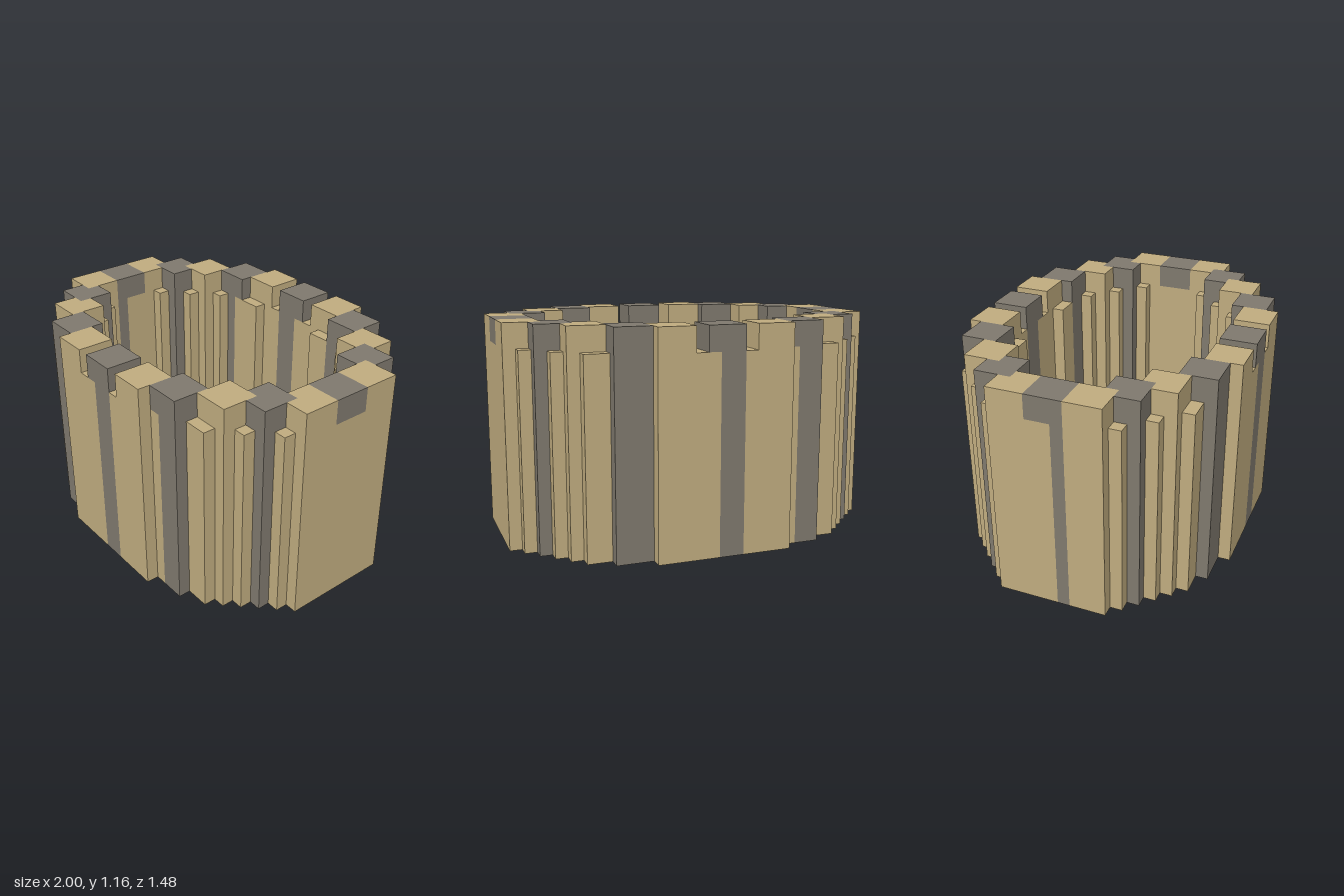
import * as THREE from 'three';

const U = 2 / 31;          // one block
const LOW = 16, TOP = 18;  // heights in blocks

export function createModel() {
  const model = new THREE.Group();
  model.name = 'blockTower';
  const sand = new THREE.MeshStandardMaterial({ color: 0xbfab7e });
  sand.name = 'sandstone';
  const gray = new THREE.MeshStandardMaterial({ color: 0x7e786d });
  gray.name = 'gray stone';

  // Box from block limits, mirrored by the signs sx and sz
  function block(name, mat, [x0, x1, z0, z1], y0, y1, sx = 1, sz = 1) {
    const geo = new THREE.BoxGeometry((x1 - x0) * U, (y1 - y0) * U, (z1 - z0) * U);
    const mesh = new THREE.Mesh(geo, mat);
    mesh.position.set(sx * (x0 + x1) / 2 * U, (y0 + y1) / 2 * U, sz * (z0 + z1) / 2 * U);
    mesh.name = name;
    model.add(mesh);
  }

  // Four quarters of the oval wall; diagonal quarters share their corner overlaps
  for (const sx of [1, -1]) for (const sz of [1, -1]) {
    const same = sx === sz;
    const add = (name, mat, list, y0, y1) =>
      list.forEach((r) => block(name, mat, r, y0, y1, sx, sz));

    add('mainWall', sand, [[2.5, 5.5, 8.5, 11.5]], 0, TOP);

    // Gray pillar beside the main wall
    if (same) {
      add('pillarTop', gray, [[5.5, 8.5, 7.5, 10.5]], LOW, TOP);
      add('pillar', gray, [[6.5, 8.5, 7.5, 10.5]], 0, LOW);
      add('pillarEdge', sand, [[5.5, 6.5, 7.5, 10.5]], 0, LOW);
    } else {
      add('pillar', gray, [[5.5, 8.5, 7.5, 10.5]], 0, TOP);
    }

    // Corner posts, each notched where its neighbour overlaps it
    add('cornerPost', sand, same
      ? [[8.5, 11.5, 5.5, 8.5]]
      : [[8.5, 10.5, 5.5, 8.5], [10.5, 11.5, 6.5, 8.5]], 0, TOP);
    add('cornerPillar', gray, same
      ? [[11.5, 13.5, 3.5, 6.5], [10.5, 11.5, 3.5, 5.5]]
      : [[10.5, 12.5, 3.5, 6.5], [12.5, 13.5, 4.5, 6.5]], 0, TOP);
    add('sideWall', sand, same
      ? [[13.5, 15.5, 1.5, 4.5], [12.5, 13.5, 1.5, 3.5]]
      : [[12.5, 15.5, 1.5, 4.5]], 0, TOP);

    // Shorter steps filling the outer and inner corners
    add('outerStep', sand, [
      [8.5, 10.5, 8.5, 9.5], [11.5, 12.5, 6.5, 7.5], [13.5, 14.5, 4.5, 5.5],
    ], 0, LOW);
    add('innerStep', sand, [
      [3.5, 5.5, 7.5, 8.5], [7.5, 8.5, 6.5, 7.5],
      [9.5, 10.5, 4.5, 5.5], [11.5, 12.5, 2.5, 3.5],
    ], 0, LOW);
  }

  // Middle of the front and back walls, with open notches beside the merlon
  for (const s of [1, -1]) {
    block('middleMerlon', gray, [-1.5, 1.5, 8.5, 11.5], LOW, TOP, s, s);
    block('middleStripe', gray, [-0.5, 1.5, 8.5, 11.5], 0, LOW, s, s);
    block('middleWall', sand, [-2.5, -0.5, 8.5, 11.5], 0, LOW, s, s);
    block('middleWall', sand, [1.5, 2.5, 8.5, 11.5], 0, LOW, s, s);
    block('sideMerlon', gray, [12.5, 15.5, -1.5, 1.5], LOW, TOP, s, 1);
  }

  // Middle of the side walls
  block('rightMiddle', sand, [12.5, 15.5, -1.5, 1.5], 0, LOW);
  block('leftMiddle', sand, [12.5, 15.5, -1.5, 0.5], 0, LOW, -1);
  block('leftStripe', gray, [12.5, 15.5, 0.5, 1.5], 0, LOW, -1);

  // Round stepped floor, one block thick
  const floor = new THREE.Shape();
  const steps = [[8, 3], [7, 3], [7, 5], [6, 5], [6, 6], [5, 6], [5, 7], [3, 7], [3, 8]];
  const back = steps.slice().reverse();
  const outline = [
    ...steps, ...back.map(([x, z]) => [-x, z]),
    ...steps.map(([x, z]) => [-x, -z]), ...back.map(([x, z]) => [x, -z]),
  ];
  floor.setFromPoints(outline.map(([x, z]) => new THREE.Vector2(x * U, z * U)));
  const floorGeo = new THREE.ExtrudeGeometry(floor, { depth: U, bevelEnabled: false });
  floorGeo.rotateX(-Math.PI / 2);
  const floorMesh = new THREE.Mesh(floorGeo, sand);
  floorMesh.position.set(-U / 2, 0, -U / 2);
  floorMesh.name = 'floor';
  model.add(floorMesh);

  return model;
}
